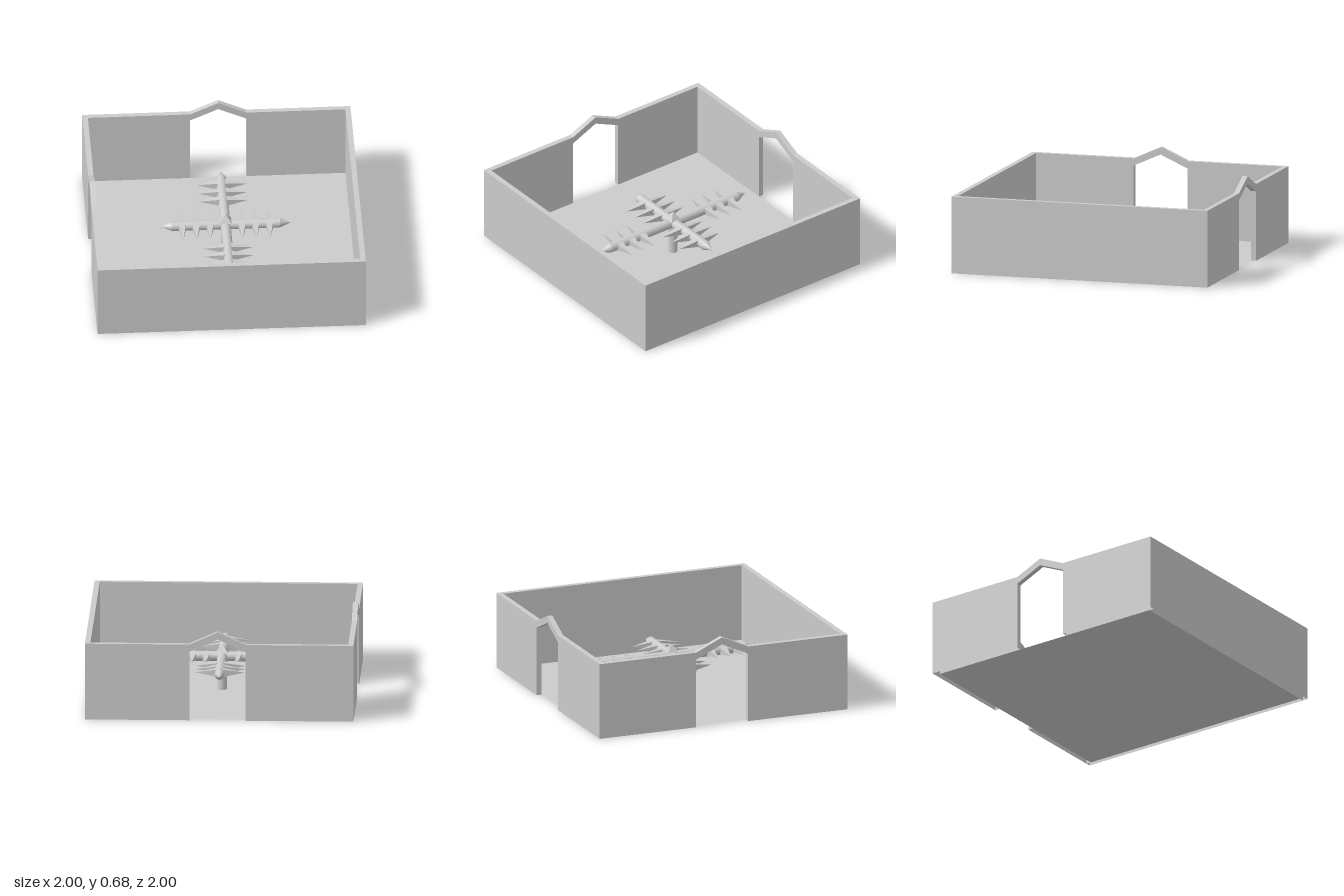
import * as THREE from 'three';

const material = new THREE.MeshStandardMaterial({ color: 0xcccccc, side: THREE.DoubleSide });
const flat = new THREE.MeshStandardMaterial({ color: 0xcccccc, flatShading: true });

const WALL_H = 0.58, THICK = 0.04, DOOR_X = 0.012, DOOR_HALF = 0.21;
const BAR_Y = 0.25, BAR_R = 0.037, CENTRE_X = 0.012;

function add(parent, name, geometry, mat = material) {
  const mesh = new THREE.Mesh(geometry, mat);
  mesh.name = name;
  parent.add(mesh);
  return mesh;
}

// Drop the triangles lying on the ground: the walls are open underneath
function openBottom(geometry) {
  const source = geometry.index ? geometry.toNonIndexed() : geometry;
  const p = source.attributes.position, kept = [];
  for (let i = 0; i < p.count; i += 3) {
    if (Math.max(p.getY(i), p.getY(i + 1), p.getY(i + 2)) < 1e-4) continue;
    for (let k = i; k < i + 3; k++) kept.push(p.getX(k), p.getY(k), p.getZ(k));
  }
  const result = new THREE.BufferGeometry();
  result.setAttribute('position', new THREE.Float32BufferAttribute(kept, 3));
  result.computeVertexNormals();
  return result;
}

// One wall along the back; the four walls meet in a pinwheel at the corners
function wallGeometry(withDoor) {
  const l = DOOR_X - DOOR_HALF, r = DOOR_X + DOOR_HALF, end = 1 - THICK;
  const points = withDoor
    ? [[-1, 0], [l, 0], [l, 0.525], [DOOR_X, 0.62], [r, 0.525], [r, 0], [end, 0],
      [end, WALL_H], [r, WALL_H], [DOOR_X, 0.675], [l, WALL_H], [-1, WALL_H]]
    : [[-1, 0], [end, 0], [end, WALL_H], [-1, WALL_H]];
  const shape = new THREE.Shape(points.map(([x, y]) => new THREE.Vector2(x, y)));
  const geometry = new THREE.ExtrudeGeometry(shape, { depth: THICK, bevelEnabled: false });
  return openBottom(geometry.translate(0, 0, -1));
}

// A bar along x with pointed ends and three pairs of side spikes per half
function spikedBar(halfLength, spikeOffsets) {
  const bar = new THREE.Group();
  const tip = 0.08;
  add(bar, 'shaft', new THREE.CylinderGeometry(BAR_R, BAR_R, 2 * halfLength, 16, 1, true).rotateZ(Math.PI / 2));
  for (const side of [-1, 1]) {
    const cone = new THREE.ConeGeometry(BAR_R, tip, 16, 1, true).rotateZ(-side * Math.PI / 2);
    add(bar, 'pointedEnd', cone).position.x = side * (halfLength + tip / 2);
    for (const offset of spikeOffsets) {
      for (const face of [-1, 1]) {
        const spike = new THREE.ConeGeometry(0.04, 0.165, 4).rotateY(Math.PI / 4).rotateX(face * Math.PI / 2);
        add(bar, 'spike', spike, flat).position.set(side * offset, 0, face * 0.103);
      }
    }
  }
  return bar;
}

export function createModel() {
  const model = new THREE.Group();
  model.name = 'trapRoom';

  // Floor and walls
  const inner = 2 - 2 * THICK;
  add(model, 'floor', new THREE.PlaneGeometry(inner, inner).rotateX(-Math.PI / 2));
  const walls = [['backWall', 0, true], ['doorSideWall', 1, true], ['frontWall', 2, false], ['plainSideWall', 3, false]];
  for (const [name, turns, withDoor] of walls) {
    add(model, name, wallGeometry(withDoor)).rotation.y = turns * Math.PI / 2;
  }

  // Spinning trap: post, two crossed bars and a pyramid cap
  const trap = new THREE.Group();
  trap.name = 'spikeTrap';
  trap.position.x = CENTRE_X;
  model.add(trap);
  add(trap, 'post', new THREE.CylinderGeometry(0.035, 0.035, 0.285, 16)).position.y = 0.1425;
  const shortBar = spikedBar(0.405, [0.12, 0.222, 0.325]);
  shortBar.name = 'shortBar';
  const longBar = spikedBar(0.593, [0.303, 0.406, 0.512]);
  longBar.name = 'longBar';
  longBar.rotation.y = Math.PI / 2;
  for (const bar of [shortBar, longBar]) {
    bar.position.y = BAR_Y;
    trap.add(bar);
  }
  const cap = new THREE.ConeGeometry(0.062, 0.065, 4).rotateY(Math.PI / 4);
  add(trap, 'cap', cap, flat).position.y = 0.314;

  return model;
}
